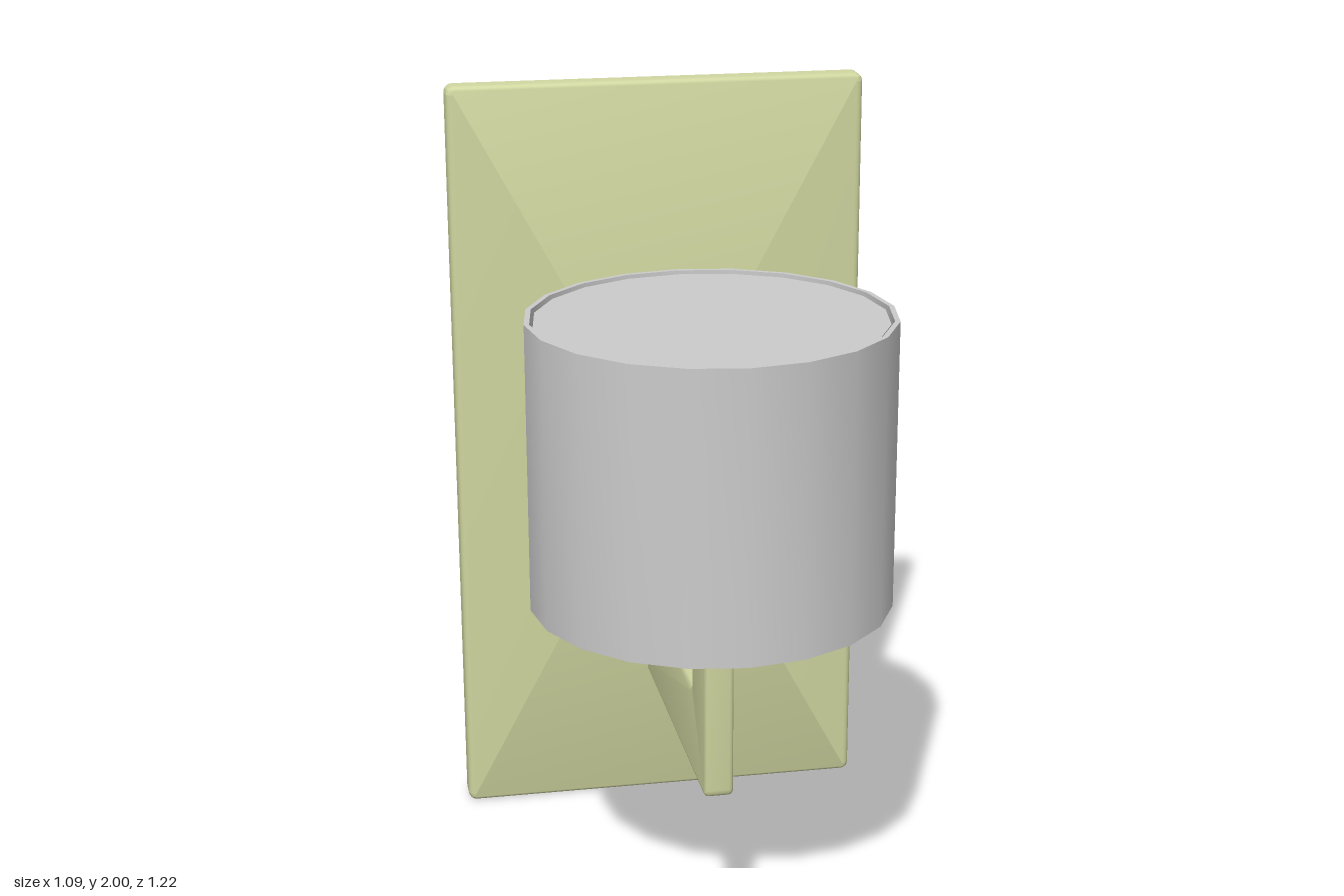
import * as THREE from 'three';
import { toCreasedNormals } from 'three/addons/utils/BufferGeometryUtils.js';

const metal = new THREE.MeshStandardMaterial({ color: 0xd0d6a0 });
const metalSheet = new THREE.MeshStandardMaterial({ color: 0xd0d6a0, side: THREE.DoubleSide });
const grey = new THREE.MeshStandardMaterial({ color: 0xcccccc });
const SHADE_Z = 0.16;

function mesh(name, geometry, material) {
  const m = new THREE.Mesh(toCreasedNormals(geometry, 0.6), material);
  m.name = name;
  return m;
}

// Turned part standing on the shade axis, from [radius, height] pairs
function turned(name, profile, material, sides = 20) {
  const points = profile.map(([r, y]) => new THREE.Vector2(r, y));
  const m = mesh(name, new THREE.LatheGeometry(points, sides), material);
  m.position.z = SHADE_Z;
  return m;
}

// Counter-clockwise outline of a rounded rectangle
function roundedRect(halfW, halfH, r) {
  const s = new THREE.Shape();
  s.absarc(halfW - r, halfH - r, r, 0, Math.PI / 2);
  s.absarc(-halfW + r, halfH - r, r, Math.PI / 2, Math.PI);
  s.absarc(-halfW + r, -halfH + r, r, Math.PI, Math.PI * 1.5);
  s.absarc(halfW - r, -halfH + r, r, Math.PI * 1.5, Math.PI * 2);
  return s.getPoints(4);
}

// Pressed wall plate: open at the back, rounded front rim, flat face
function backPlateGeometry() {
  const bevel = 0.018, front = -0.547, back = -0.61;
  const sections = [[0, back]];
  for (let i = 0; i <= 4; i++) {
    const a = (i / 4) * Math.PI / 2;
    sections.push([bevel * (1 - Math.cos(a)), front - bevel * (1 - Math.sin(a))]);
  }
  const positions = [], indices = [];
  let n = 0;
  for (const [inset, z] of sections) {
    const loop = roundedRect(0.545 - inset, 1 - inset, 0.022 - inset);
    n = loop.length;
    for (const p of loop) positions.push(p.x, p.y + 1, z);
  }
  for (let s = 0; s < sections.length - 1; s++) {
    for (let i = 0; i < n; i++) {
      const a = s * n + i, b = s * n + (i + 1) % n;
      indices.push(a, b, b + n, a, b + n, a + n);
    }
  }
  const last = (sections.length - 1) * n, centre = positions.length / 3;
  positions.push(0, 1, front);
  for (let i = 0; i < n; i++) indices.push(centre, last + i, last + (i + 1) % n);
  const g = new THREE.BufferGeometry();
  g.setAttribute('position', new THREE.Float32BufferAttribute(positions, 3));
  g.setIndex(indices);
  return g;
}

// L-shaped bracket, drawn in the side plane and extruded across x
function armGeometry() {
  const bevel = 0.012, width = 0.074, r = 0.02;
  const s = new THREE.Shape();
  s.moveTo(-0.595, 0.357);
  s.lineTo(0.272 - r, 0.357);
  s.quadraticCurveTo(0.272, 0.357, 0.272, 0.357 + r);
  s.lineTo(0.272, 0.98);
  s.lineTo(0.1, 0.98);
  s.lineTo(0.1, 0.585 + r);
  s.quadraticCurveTo(0.1, 0.585, 0.1 - r, 0.585);
  s.lineTo(-0.595, 0.585);
  s.closePath();
  const g = new THREE.ExtrudeGeometry(s, {
    depth: width - 2 * bevel, bevelEnabled: true, bevelThickness: bevel,
    bevelSize: bevel, bevelOffset: -bevel, bevelSegments: 3, curveSegments: 4,
  });
  g.translate(0, 0, -(width / 2 - bevel));
  g.rotateY(-Math.PI / 2);
  return g;
}

export function createModel() {
  const model = new THREE.Group();
  model.name = 'wallLamp';

  model.add(mesh('backPlate', backPlateGeometry(), metalSheet));
  model.add(mesh('arm', armGeometry(), metal));

  // Chamfered cup joining the arm to the lamp, inside the shade
  model.add(turned('lampHolder', [
    [0, 0.96], [0.105, 0.96], [0.13, 0.975], [0.147, 1.005], [0.147, 1.15], [0, 1.15],
  ], metal));

  // Thin-walled drum shade, open at the bottom
  model.add(turned('shade', [
    [0.447, 0.85], [0.447, 1.568], [0.434, 1.568], [0.434, 0.85], [0.447, 0.85],
  ], grey));

  // Top diffuser, set inside the rim with a narrow gap around it
  model.add(turned('diffuser', [
    [0, 1.548], [0.426, 1.548], [0.426, 1.56], [0, 1.56],
  ], grey));

  return model;
}
